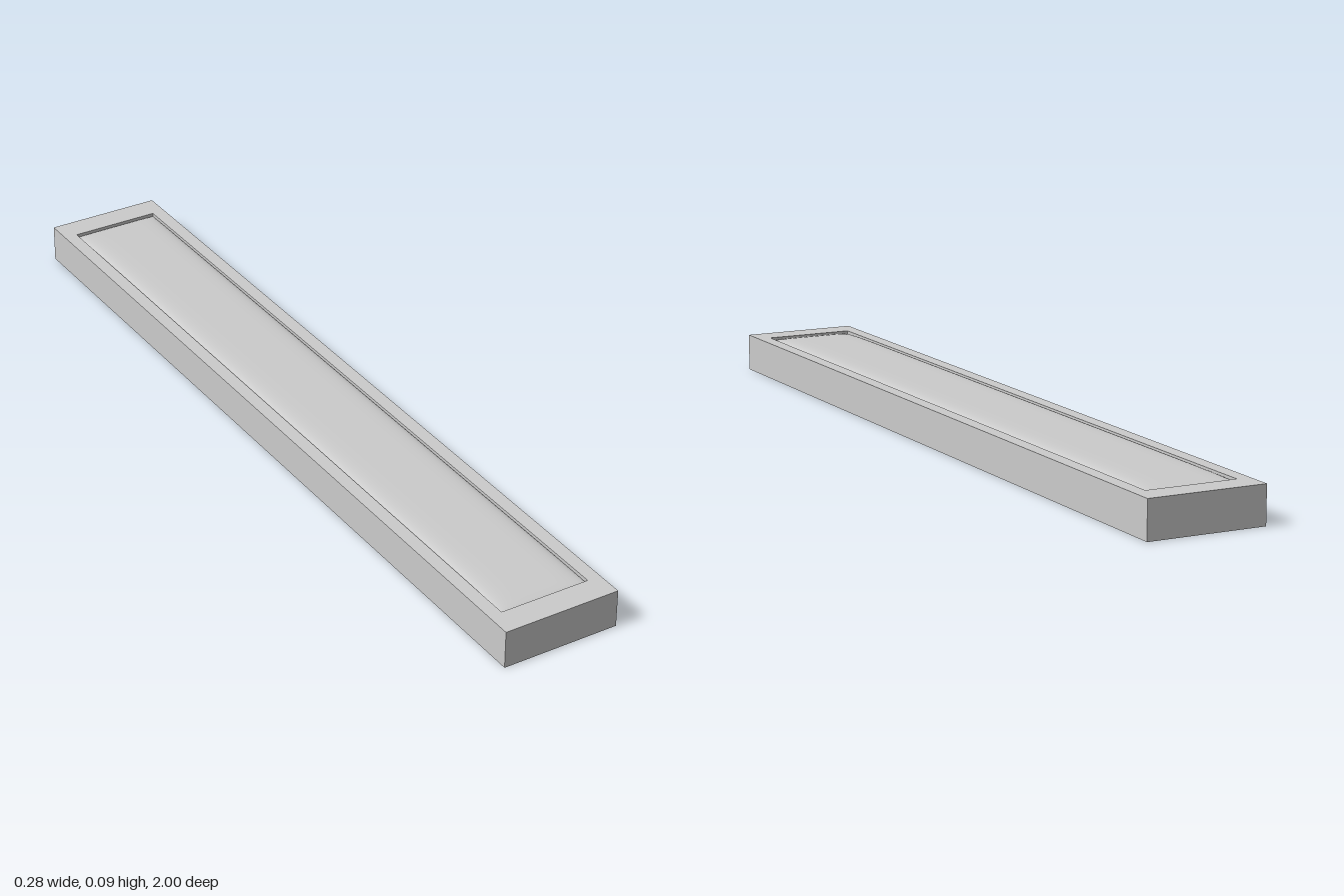
import * as THREE from 'three';

const material = new THREE.MeshStandardMaterial({ color: 0xcccccc });

// Skin stacked rectangles [halfX, y, halfZ] into one closed, sharp-edged body
function rectangleLoft(rings) {
  const corners = [[1, 1], [1, -1], [-1, -1], [-1, 1]];
  const positions = [];
  const index = [];
  rings.forEach(([hx, y, hz], i) => {
    corners.forEach(([sx, sz], j) => {
      positions.push(sx * hx, y, sz * hz);
      if (i === rings.length - 1) return;
      const a = i * 4 + j, b = i * 4 + (j + 1) % 4;
      index.push(a, b, b + 4, a, b + 4, a + 4);
    });
  });
  const indexed = new THREE.BufferGeometry();
  indexed.setAttribute('position', new THREE.Float32BufferAttribute(positions, 3));
  indexed.setIndex(index);
  const geometry = indexed.toNonIndexed();
  geometry.computeVertexNormals();
  return geometry;
}

// Pillow-shaped sheet, rows packed towards the edges where it curves most
function pillow(halfX, halfZ, base, rise) {
  const geometry = new THREE.PlaneGeometry(2, 2, 24, 40).rotateX(-Math.PI / 2);
  const p = geometry.attributes.position;
  for (let i = 0; i < p.count; i++) {
    const u = Math.sin(p.getX(i) * Math.PI / 2);
    const v = Math.sin(p.getZ(i) * Math.PI / 2);
    const f = Math.max(0, (1 - Math.abs(u) ** 6) * (1 - Math.abs(v) ** 16));
    p.setXYZ(i, u * halfX, base + rise * Math.sqrt(f), v * halfZ);
  }
  geometry.computeVertexNormals();
  return geometry;
}

export function createModel() {
  const group = new THREE.Group();
  group.name = 'lightPanel';

  // Tray: underside, outer walls, flat rim, shallow recess
  const housing = new THREE.Mesh(rectangleLoft([
    [0, 0, 0],
    [0.14, 0, 1],
    [0.14, 0.089, 1],
    [0.108, 0.089, 0.937],
    [0.108, 0.08, 0.937],
    [0, 0.08, 0],
  ]), material);
  housing.name = 'housing';

  // Gently bulging cover seated in the recess
  const diffuser = new THREE.Mesh(pillow(0.107, 0.936, 0.081, 0.0115), material);
  diffuser.name = 'diffuser';

  group.add(housing, diffuser);
  return group;
}
